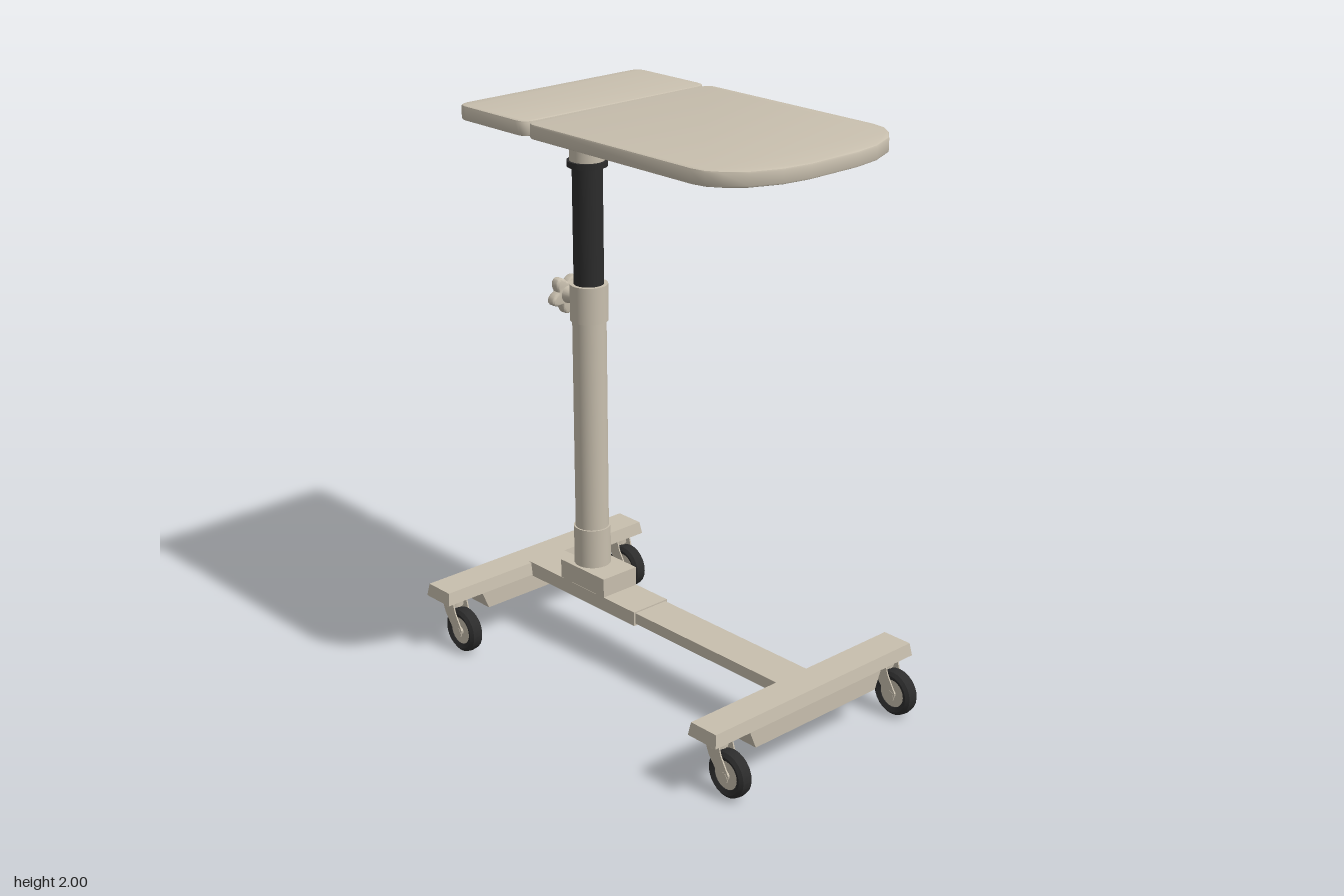
import * as THREE from 'three';
import { toCreasedNormals } from 'three/addons/utils/BufferGeometryUtils.js';

const beige = new THREE.MeshStandardMaterial({ color: 0xc8bfae });
beige.name = 'beige';
const black = new THREE.MeshStandardMaterial({ color: 0x2c2c2c });
black.name = 'black';

function add(parent, name, geometry, material, x = 0, y = 0, z = 0) {
  const mesh = new THREE.Mesh(geometry, material);
  mesh.name = name;
  mesh.position.set(x, y, z);
  parent.add(mesh);
  return mesh;
}

// Box whose top or bottom face is inset in x and z
function taperedBox(w, h, d, topX = 0, topZ = 0, bottomX = 0) {
  const g = new THREE.BoxGeometry(w, h, d);
  const p = g.attributes.position;
  for (let i = 0; i < p.count; i++) {
    const up = p.getY(i) > 0;
    p.setX(i, p.getX(i) - Math.sign(p.getX(i)) * (up ? topX : bottomX));
    if (up) p.setZ(i, p.getZ(i) - Math.sign(p.getZ(i)) * topZ);
  }
  g.computeVertexNormals();
  return g;
}

// Flat slab from an outline in x and z, lying between y = 0 and y = h
function slab(shape, h, bevel) {
  const g = new THREE.ExtrudeGeometry(shape, {
    depth: h - 2 * bevel, bevelEnabled: bevel > 0, bevelSize: bevel,
    bevelThickness: bevel, bevelOffset: -bevel, bevelSegments: 2, curveSegments: 6,
  });
  g.rotateX(Math.PI / 2);
  g.translate(0, h - bevel, 0);
  return toCreasedNormals(g, 0.6);
}

function roundedRect(x, z0, z1, r) {
  const s = new THREE.Shape();
  s.moveTo(-x + r, z0);
  s.lineTo(x - r, z0);
  s.quadraticCurveTo(x, z0, x, z0 + r);
  s.lineTo(x, z1 - r);
  s.quadraticCurveTo(x, z1, x - r, z1);
  s.lineTo(-x + r, z1);
  s.quadraticCurveTo(-x, z1, -x, z1 - r);
  s.lineTo(-x, z0 + r);
  s.quadraticCurveTo(-x, z0, -x + r, z0);
  return s;
}

function createTop(root) {
  const top = new THREE.Group();
  top.name = 'tableTop';
  root.add(top);
  // Main panel with bowed front
  const s = new THREE.Shape();
  s.moveTo(-0.36, -0.235);
  s.lineTo(0.36, -0.235);
  s.quadraticCurveTo(0.395, -0.235, 0.395, -0.2);
  s.lineTo(0.395, 0.51);
  const bow = [[0.385, 0.56], [0.355, 0.605], [0.3, 0.655], [0.2, 0.697], [0.1, 0.712]];
  bow.forEach(([x, z]) => s.lineTo(x, z));
  [...bow].reverse().forEach(([x, z]) => s.lineTo(-x, z));
  s.lineTo(-0.395, 0.51);
  s.lineTo(-0.395, -0.2);
  s.quadraticCurveTo(-0.395, -0.235, -0.36, -0.235);
  add(top, 'mainPanel', slab(s, 0.05, 0.007), beige, 0, 1.95);
  // Small side panel
  add(top, 'rearPanel', slab(roundedRect(0.395, -0.587, -0.243, 0.045), 0.05, 0.007), beige, 0, 1.95);
  // Support plates under the two panels
  add(top, 'frontSupport', new THREE.BoxGeometry(0.265, 0.053, 0.38), beige, 0, 1.9235, -0.038);
  const r = new THREE.Shape();
  [[-0.132, -0.235], [-0.132, -0.44], [-0.09, -0.49], [0.09, -0.49], [0.132, -0.44], [0.132, -0.235]]
    .forEach(([x, z], i) => (i ? r.lineTo(x, z) : r.moveTo(x, z)));
  add(top, 'rearSupport', slab(r, 0.055, 0), beige, 0, 1.895);
  const hinge = add(top, 'hinge', new THREE.CylinderGeometry(0.008, 0.008, 0.26, 10), beige, 0, 1.9, -0.232);
  hinge.rotation.z = Math.PI / 2;
}

function createColumn(root) {
  const column = new THREE.Group();
  column.name = 'column';
  column.position.z = -0.405;
  root.add(column);
  const tube = (name, r, y0, y1, material) =>
    add(column, name, new THREE.CylinderGeometry(r, r, y1 - y0, 32), material, 0, (y0 + y1) / 2);
  tube('topSocket', 0.06, 1.775, 1.9, beige);
  tube('blackRing', 0.069, 1.76, 1.78, black);
  tube('innerTube', 0.052, 1.34, 1.77, black);
  tube('clampCollar', 0.066, 1.22, 1.35, beige);
  tube('outerTube', 0.059, 0.44, 1.23, beige);
  tube('lowerCollar', 0.065, 0.3, 0.455, beige);
  // Star knob on the back of the clamp
  const stem = add(column, 'knobStem', new THREE.CylinderGeometry(0.02, 0.034, 0.06, 20), beige, 0, 1.285, -0.09);
  stem.rotation.x = Math.PI / 2;
  const star = new THREE.Shape();
  const n = 60;
  for (let i = 0; i < n; i++) {
    const a = (i / n) * Math.PI * 2;
    const r = 0.049 + 0.014 * Math.cos(5 * (a + Math.PI / 2));
    if (i) star.lineTo(r * Math.cos(a), r * Math.sin(a));
    else star.moveTo(r * Math.cos(a), r * Math.sin(a));
  }
  star.closePath();
  const knob = new THREE.ExtrudeGeometry(star, {
    depth: 0.018, bevelSize: 0.008, bevelThickness: 0.009, bevelSegments: 3,
  });
  add(column, 'knob', toCreasedNormals(knob, 0.7), beige, 0, 1.285, -0.134);
}

function createCaster(root, x, z) {
  const caster = new THREE.Group();
  caster.name = 'caster';
  caster.position.set(x, 0, z);
  root.add(caster);
  // Swivel stem; the wheel trails toward +z
  add(caster, 'swivel', new THREE.CylinderGeometry(0.034, 0.034, 0.04, 16), beige, 0, 0.18, 0);
  const profile = [[0.05, -0.02], [0.066, -0.027], [0.078, -0.018], [0.081, 0],
    [0.078, 0.018], [0.066, 0.027], [0.05, 0.02], [0.05, -0.02]];
  const tyre = new THREE.LatheGeometry(profile.map(([r, y]) => new THREE.Vector2(r, y)), 24);
  tyre.rotateZ(Math.PI / 2);
  add(caster, 'tyre', toCreasedNormals(tyre, 0.4), black, 0, 0.081, 0.057);
  const disc = (name, r, w) => {
    const m = add(caster, name, new THREE.CylinderGeometry(r, r, w, 20), beige, 0, 0.081, 0.057);
    m.rotation.z = Math.PI / 2;
  };
  disc('hub', 0.052, 0.036);
  disc('axle', 0.016, 0.066);
  // Fork cheeks, outline as z and y
  const cheek = new THREE.Shape();
  [[-0.03, 0.19], [0.034, 0.19], [0.045, 0.15], [0.08, 0.09], [0.073, 0.064], [0.045, 0.062], [0.03, 0.085], [-0.008, 0.135]]
    .forEach(([a, b], i) => (i ? cheek.lineTo(a, b) : cheek.moveTo(a, b)));
  for (const side of [-1, 1]) {
    const g = new THREE.ExtrudeGeometry(cheek, { depth: 0.005, bevelEnabled: false });
    g.translate(0, 0, -0.0025);
    g.rotateY(-Math.PI / 2);
    add(caster, 'forkCheek', g, beige, side * 0.0295, 0, 0);
  }
}

function createBase(root) {
  const base = new THREE.Group();
  base.name = 'base';
  root.add(base);
  for (const z of [0.64, -0.715]) {
    add(base, 'crossBar', taperedBox(0.92, 0.045, 0.126, 0.007, 0.007), beige, 0, 0.2175, z);
    add(base, 'crossBarApron', taperedBox(0.616, 0.067, 0.12, 0, 0, 0.028), beige, 0, 0.1635, z);
    for (const x of [-0.39, 0.39]) createCaster(base, x, z);
  }
  // Spine in two sections and the column foot
  add(base, 'frontSpine', new THREE.BoxGeometry(0.14, 0.04, 0.7), beige, 0, 0.218, 0.24);
  add(base, 'rearSpine', new THREE.BoxGeometry(0.154, 0.052, 0.57), beige, 0, 0.217, -0.385);
  add(base, 'columnFoot', new THREE.BoxGeometry(0.152, 0.08, 0.23), beige, 0, 0.272, -0.375);
}

export function createModel() {
  const model = new THREE.Group();
  model.name = 'overbedTable';
  createTop(model);
  createColumn(model);
  createBase(model);
  return model;
}
